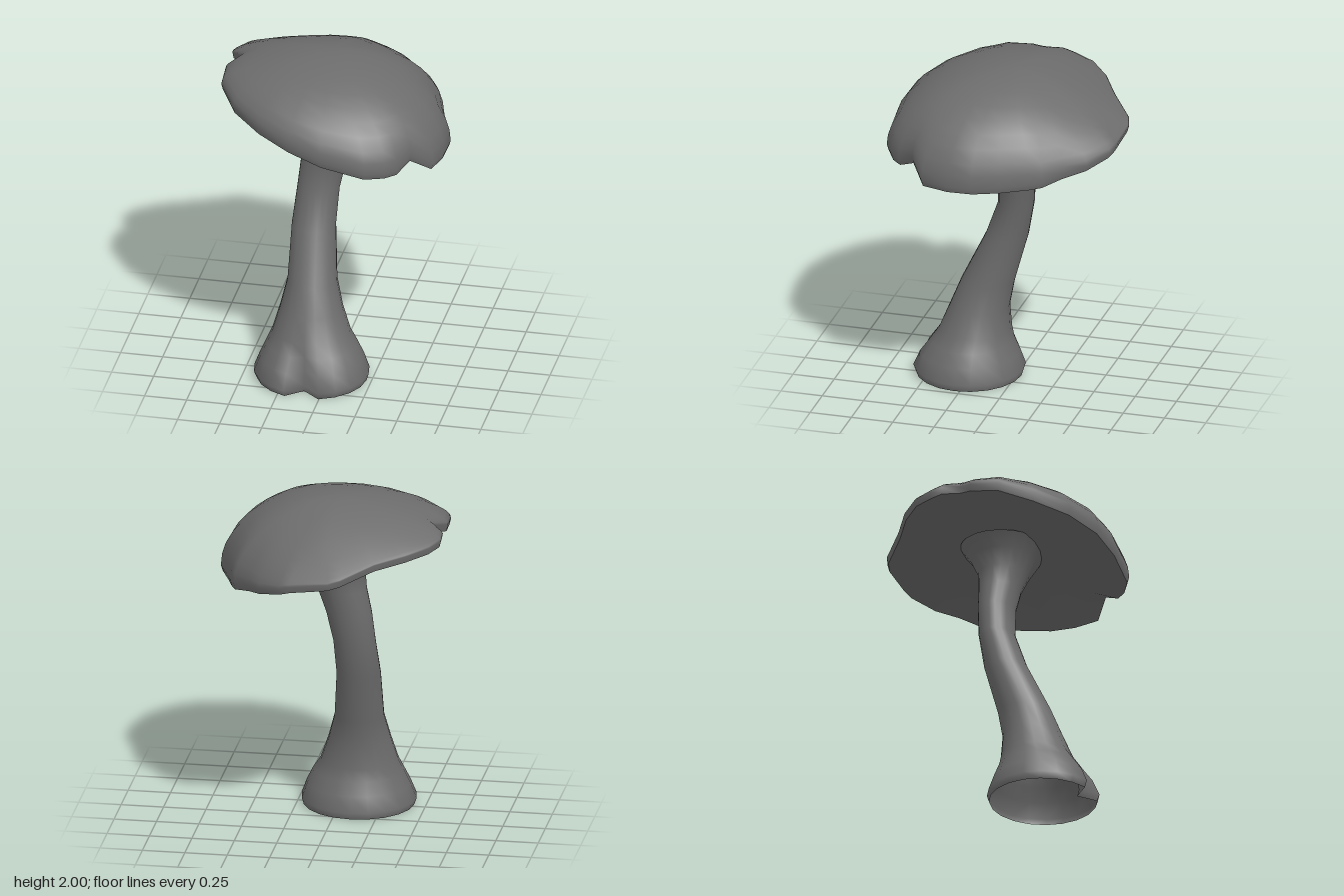
import * as THREE from 'three';
import { mergeVertices } from 'three/addons/utils/BufferGeometryUtils.js';

// Skin a list of closed rings (each a list of [x, y, z]).
function loft(rings) {
  const n = rings[0].length, index = [];
  for (let i = 0; i < rings.length - 1; i++) {
    for (let j = 0; j < n; j++) {
      const a = i * n + j, b = i * n + (j + 1) % n;
      index.push(a, b, a + n, b, b + n, a + n);
    }
  }
  let geo = new THREE.BufferGeometry();
  geo.setAttribute('position', new THREE.Float32BufferAttribute(rings.flat(2), 3));
  geo.setIndex(index);
  geo = mergeVertices(geo, 1e-4);
  geo.computeVertexNormals();
  return geo;
}

// Wavy cap rim, running from +x round by +z: x, lower edge height, z
const RIM = [
  [0.67, 1.46, 0.05], [0.665, 1.455, 0.20], [0.63, 1.46, 0.36], [0.52, 1.55, 0.45],
  [0.46, 1.50, 0.55], [0.40, 1.50, 0.61], [0.29, 1.51, 0.67], [0.03, 1.57, 0.685],
  [-0.17, 1.63, 0.65], [-0.37, 1.68, 0.55], [-0.55, 1.72, 0.39], [-0.66, 1.77, 0.21],
  [-0.67, 1.79, 0.04], [-0.60, 1.82, -0.06], [-0.67, 1.80, -0.14], [-0.67, 1.78, -0.21],
  [-0.62, 1.77, -0.32], [-0.50, 1.75, -0.43], [-0.33, 1.72, -0.53], [-0.15, 1.66, -0.67],
  [-0.08, 1.64, -0.69], [0.15, 1.61, -0.68], [0.21, 1.59, -0.66], [0.35, 1.55, -0.56],
  [0.43, 1.52, -0.44], [0.53, 1.49, -0.34], [0.56, 1.48, -0.27], [0.61, 1.46, -0.10],
];
const CENTRE = [-0.05, 0], LIP = 0.04;

// Rim with its notches evened out, used away from the edge
const SOFT = RIM.map((p, j) => p.map((v, k) => {
  const at = (d) => RIM[(j + d + RIM.length) % RIM.length][k];
  return (at(-2) + 2 * at(-1) + 2 * v + 2 * at(1) + at(2)) / 8;
}));

function rimPoint(j, t) {
  const s = THREE.MathUtils.smoothstep(t, 0.65, 1);
  const [x, y, z] = RIM[j].map((v, k) => THREE.MathUtils.lerp(SOFT[j][k] * (k === 1 ? 1 : 1.03), v, s));
  return [CENTRE[0] + (x - CENTRE[0]) * t, y, CENTRE[1] + (z - CENTRE[1]) * t];
}

// Dome: round towards the front and left, more conical at the back
function domeRing(t) {
  return RIM.map((r, j) => {
    const [x, y, z] = rimPoint(j, t);
    const len = Math.hypot(r[0], r[2]);
    const w = THREE.MathUtils.clamp((-0.4 * r[0] - 0.9 * r[2]) / len, 0, 1);
    const drop = (1 - w) * (1 - Math.sqrt(1 - t * t)) + w * t ** 1.8;
    return [x, 2 - drop * (2 - y - LIP), z];
  });
}

// Underside: follows the tilt of the rim, slightly hollow
function underRing(t) {
  return RIM.map((r, j) => {
    const [x, y, z] = rimPoint(j, t);
    return [x, 1.63 + t * (y - 1.63) + 0.07 * (1 - t * t), z];
  });
}

// Stem sections, top to bottom: y, min x, max x, min z, max z, cleft depth
const STEM = [
  [1.71, -0.28, 0.28, -0.25, 0.25, 0],
  [1.63, -0.22, 0.24, -0.19, 0.20, 0],
  [1.53, -0.19, 0.165, -0.14, 0.15, 0],
  [1.42, -0.20, 0.09, -0.125, 0.12, 0],
  [1.28, -0.23, 0.04, -0.115, 0.10, 0],
  [1.10, -0.25, 0.00, -0.10, 0.11, 0],
  [0.88, -0.27, -0.01, -0.06, 0.19, 0],
  [0.58, -0.27, 0.02, 0.02, 0.335, 0],
  [0.42, -0.305, 0.065, 0.05, 0.40, 0],
  [0.28, -0.345, 0.115, 0.04, 0.46, 0.03],
  [0.21, -0.375, 0.16, 0.025, 0.51, 0.16],
  [0.13, -0.41, 0.20, -0.01, 0.57, 0.27],
  [0.04, -0.445, 0.232, -0.042, 0.61, 0.32],
  [0.00, -0.43, 0.22, -0.03, 0.595, 0.32],
];
const SIDES = 20;

function stemRing([y, x0, x1, z0, z1, cleft]) {
  return Array.from({ length: SIDES }, (_, j) => {
    const a = (j / SIDES) * Math.PI * 2;
    // One narrow fold runs up the front of the foot
    const k = j === SIDES / 4 ? 1 - cleft : 1;
    return [
      (x0 + x1) / 2 + Math.cos(a) * k * (x1 - x0) / 2, y,
      (z0 + z1) / 2 + Math.sin(a) * k * (z1 - z0) / 2,
    ];
  });
}

export function createModel() {
  const group = new THREE.Group();
  const material = new THREE.MeshStandardMaterial({ color: 0x6c6c6c, side: THREE.DoubleSide });
  const add = (name, rings) => {
    const mesh = new THREE.Mesh(loft(rings), material);
    mesh.name = name;
    group.add(mesh);
  };

  // Dome, rolling over its rim
  add('capTop', [
    ...[0, 0.15, 0.3, 0.45, 0.6, 0.72, 0.82, 0.9, 0.96, 0.99, 1].map(domeRing),
    underRing(0.985),
  ]);
  add('capUnderside', [0.985, 0.85, 0.65, 0.4, 0].map(underRing));
  add('stem', STEM.map(stemRing)); // hollow, open at the foot
  return group;
}
